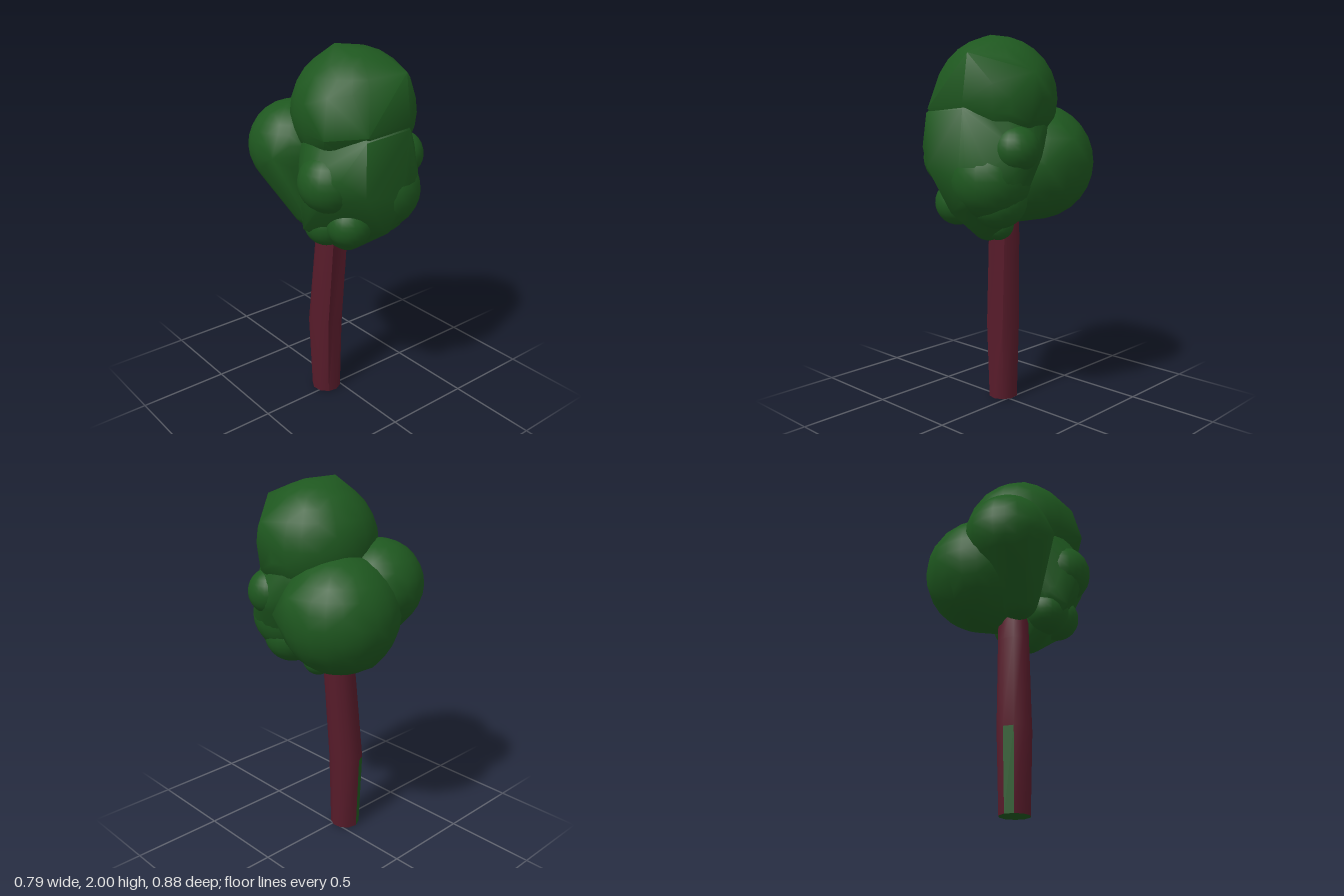
import * as THREE from 'three';
import { mergeVertices, toCreasedNormals } from 'three/addons/utils/BufferGeometryUtils.js';
import { ConvexGeometry } from 'three/addons/geometries/ConvexGeometry.js';

const leafGreen = new THREE.MeshStandardMaterial({ name: 'leafGreen', color: 0x1e571f });
const barkRed = new THREE.MeshStandardMaterial({ name: 'barkRed', color: 0x571b2a });

function addMesh(parent, name, geometry, material) {
  const mesh = new THREE.Mesh(geometry, material);
  mesh.name = name;
  parent.add(mesh);
}

// Rounded clump of leaves: centre, radius
function ball([x, y, z, r]) {
  return new THREE.SphereGeometry(r, 22, 14).translate(x, y, z);
}

// Tight skin stretched round several balls and a few corner points
function skin(balls, corners) {
  const points = corners.map((c) => new THREE.Vector3(...c));
  for (const b of balls) {
    const p = ball(b).attributes.position;
    for (let i = 0; i < p.count; i++) points.push(new THREE.Vector3().fromBufferAttribute(p, i));
  }
  const g = new ConvexGeometry(points);
  g.deleteAttribute('normal');
  return toCreasedNormals(mergeVertices(g, 1e-4), 1);
}

// Trunk: rings of [y, centre x, centre z, radius x, radius z]
const RINGS = [
  [0, -0.065, -0.028, 0.08, 0.083],
  [0.43, -0.068, -0.03, 0.092, 0.096],
  [0.93, -0.04, -0.008, 0.09, 0.084],
  [1.15, -0.03, 0, 0.085, 0.08],
];
const SIDES = 10;
function ringPoint(k, i) {
  const [y, cx, cz, rx, rz] = RINGS[k];
  const a = ((i + 0.3) / SIDES) * Math.PI * 2;
  // groove down the front
  const s = i % SIDES === 2 && k > 0 ? 0.7 : 1;
  return [cx + Math.cos(a) * rx * s, y, cz + Math.sin(a) * rz * s];
}
function faces(list) {
  const g = new THREE.BufferGeometry();
  g.setAttribute('position', new THREE.Float32BufferAttribute(list.flat(), 3));
  g.computeVertexNormals();
  return g;
}

export function createModel() {
  const tree = new THREE.Group();
  tree.name = 'tree';

  // Trunk bark, with one mossy strip low on the back and a green underside
  const bark = [], moss = [], base = [];
  for (let i = 0; i < SIDES; i++) {
    for (let k = 0; k < RINGS.length - 1; k++) {
      const a = ringPoint(k, i), b = ringPoint(k, i + 1);
      const c = ringPoint(k + 1, i), d = ringPoint(k + 1, i + 1);
      (k === 0 && i === 6 ? moss : bark).push(a, c, b, b, c, d);
    }
    base.push([RINGS[0][1], 0, RINGS[0][2]], ringPoint(0, i), ringPoint(0, i + 1));
  }
  const trunk = new THREE.Group();
  trunk.name = 'trunk';
  tree.add(trunk);
  addMesh(trunk, 'bark', toCreasedNormals(faces(bark), 0.7), barkRed);
  addMesh(trunk, 'mossStrip', faces(moss), leafGreen);
  addMesh(trunk, 'trunkUnderside', faces(base), leafGreen);

  // Crown: stretched masses
  const crown = new THREE.Group();
  crown.name = 'crown';
  tree.add(crown);
  addMesh(crown, 'topClump', skin([[0.015, 1.67, 0.105, 0.318]], [
    [-0.27, 1.79, 0.25], [0.1, 1.89, 0.395], [0.34, 1.8, 0.17], [0.33, 1.55, 0.19],
    [-0.07, 2, 0.06], [-0.31, 1.6, 0.28], [-0.16, 1.62, 0.425], [0.1, 1.65, 0.43],
  ]), leafGreen);
  addMesh(crown, 'crownBody', skin([
    [0.02, 1.5, 0.12, 0.29],
    [0.09, 1.28, 0.225, 0.205],
    [-0.19, 1.36, 0.19, 0.165],
    [0.225, 1.4, 0.18, 0.125],
    [-0.03, 1.02, 0.12, 0.1],
    [-0.2, 1.2, 0.12, 0.11],
  ], [
    [-0.17, 1.6, 0.425], [0.1, 1.62, 0.43], [-0.17, 1.32, 0.425], [-0.01, 1.1, 0.41],
    [-0.32, 1.11, 0.12], [0.05, 0.98, 0.2], [0.25, 1.3, 0.35], [0.31, 1.3, 0.29],
    [-0.28, 1.42, 0.36],
  ]), leafGreen);
  addMesh(crown, 'backRightMass', skin([
    [-0.16, 1.46, -0.17, 0.237],
    [-0.13, 1.14, -0.06, 0.11],
  ], [[-0.385, 1.45, -0.045]]), leafGreen);
  addMesh(crown, 'backLeftMass', skin([
    [0.08, 1.335, -0.13, 0.313],
  ], [
    [0.06, 1.1, -0.35], [-0.06, 1.03, -0.14], [0.03, 1.01, 0.02],
    [0.385, 1.47, -0.08], [0.345, 1.34, 0.09],
  ]), leafGreen);

  // Smaller bumps swelling out of the masses
  const clumps = {
    leftSideClump: [0.245, 1.42, 0.21, 0.125],
    rightSideClump: [-0.215, 1.36, 0.2, 0.16],
    frontClump: [0.09, 1.27, 0.23, 0.212],
    lowerFrontClump: [-0.13, 1.13, 0.25, 0.12],
    lowerLeftClump: [0.12, 1.16, 0.2, 0.15],
    bottomClump: [0.02, 1.01, 0.1, 0.085],
    lowerRightClump: [-0.17, 1.11, 0.12, 0.12],
  };
  for (const [name, c] of Object.entries(clumps)) addMesh(crown, name, ball(c), leafGreen);

  return tree;
}
